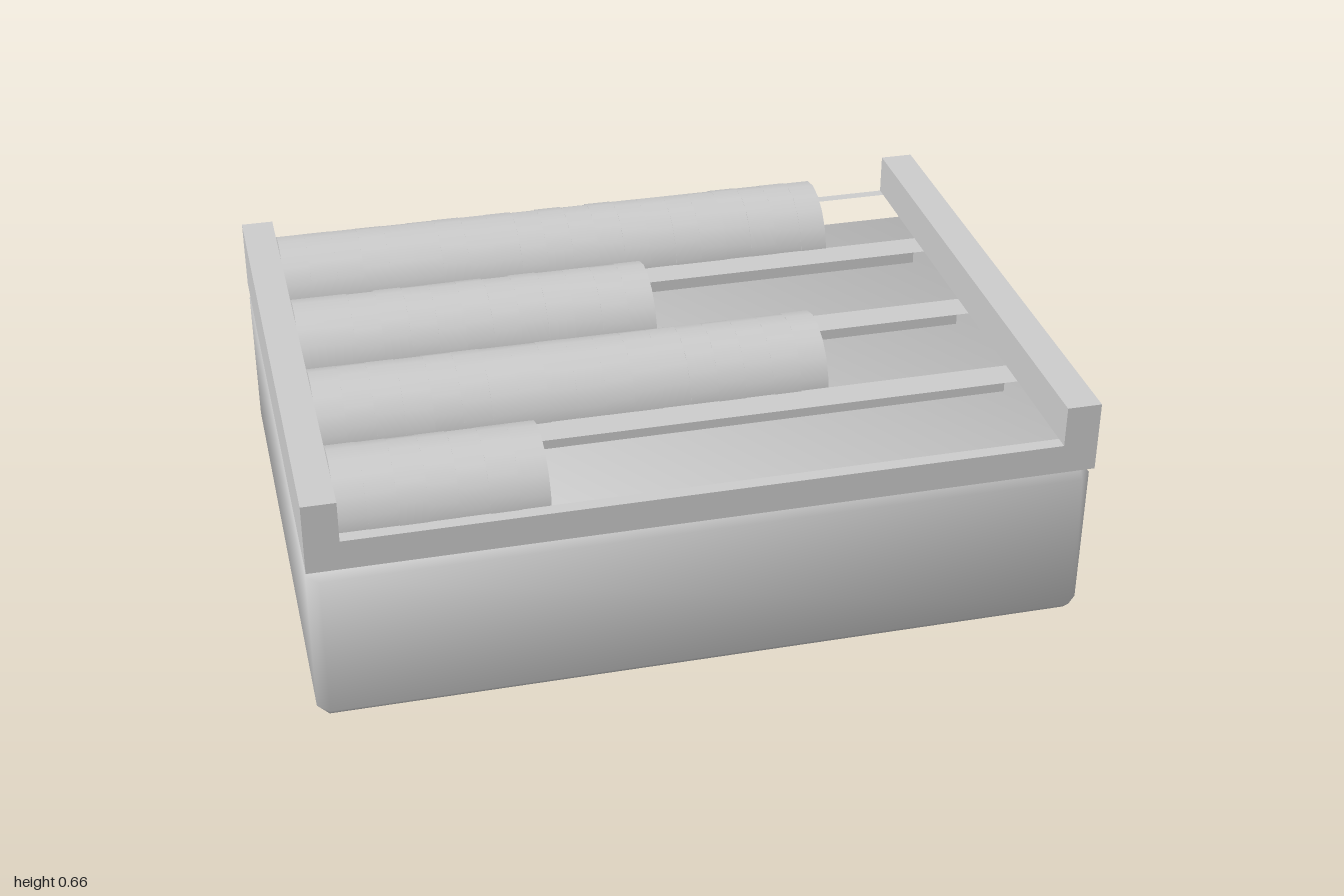
import * as THREE from 'three';
import { ConvexGeometry } from 'three/addons/geometries/ConvexGeometry.js';

const DEPTH = 0.74, BASE_TOP = 0.45, PLATE_TOP = 0.53, WALL_TOP = 0.64;
const SLOT_LEFT = -0.914, SLOT_RIGHT = 0.91, SLOT_HALF = 0.145;
const COIN_RADIUS = 0.148, COIN_LENGTH = 0.074, COIN_Y = 0.513;

// Rows from back to front: centre z and number of coins
const ROWS = [
  { z: -0.565, count: 21 },
  { z: -0.19, count: 13 },
  { z: 0.185, count: 18 },
  { z: 0.56, count: 7 },
];

function seeded(seed) {
  return () => {
    seed = (seed * 16807) % 2147483647;
    return seed / 2147483647;
  };
}

// Box with single-cut bevels whose normals are softened across each face
function softBox(hx, hy, hz, bevel) {
  const half = [hx, hy, hz];
  const points = [];
  for (const sx of [-1, 1]) for (const sy of [-1, 1]) for (const sz of [-1, 1]) {
    const s = [sx, sy, sz];
    for (let axis = 0; axis < 3; axis++) {
      points.push(new THREE.Vector3(...s.map((v, i) => v * (half[i] - (i === axis ? 0 : bevel)))));
    }
  }
  const geometry = new ConvexGeometry(points);
  const pos = geometry.attributes.position, normal = geometry.attributes.normal;
  const n = new THREE.Vector3();
  for (let i = 0; i < pos.count; i++) {
    const p = [pos.getX(i), pos.getY(i), pos.getZ(i)];
    n.set(...p.map((v, a) => Math.sign(v) * (Math.abs(v) > half[a] - bevel / 2 ? 1 : 0.42))).normalize();
    normal.setXYZ(i, n.x, n.y, n.z);
  }
  return geometry;
}

function rectangle(target, x0, x1, z0, z1) {
  target.moveTo(x0, -z0);
  target.lineTo(x1, -z0);
  target.lineTo(x1, -z1);
  target.lineTo(x0, -z1);
  target.closePath();
  return target;
}

export function createModel() {
  const model = new THREE.Group();
  model.name = 'coinTray';
  const grey = new THREE.MeshStandardMaterial({ color: 0xcccccc });
  grey.name = 'light grey';

  const add = (name, geometry, x = 0, y = 0, z = 0, parent = model) => {
    const mesh = new THREE.Mesh(geometry, grey);
    mesh.name = name;
    mesh.position.set(x, y, z);
    parent.add(mesh);
    return mesh;
  };

  // Base block
  add('base', softBox(1, BASE_TOP / 2, DEPTH, 0.03), 0, BASE_TOP / 2, 0);

  // Slotted plate
  const outline = rectangle(new THREE.Shape(), -1, 1, -DEPTH, DEPTH);
  for (const { z } of ROWS) {
    outline.holes.push(rectangle(new THREE.Path(), SLOT_LEFT, SLOT_RIGHT, z - SLOT_HALF, z + SLOT_HALF));
  }
  const plate = new THREE.ExtrudeGeometry(outline, { depth: PLATE_TOP - BASE_TOP, bevelEnabled: false });
  plate.rotateX(-Math.PI / 2);
  add('slottedPlate', plate, 0, BASE_TOP, 0);

  // Raised end walls
  const wallHeight = WALL_TOP - PLATE_TOP, wallY = (WALL_TOP + PLATE_TOP) / 2;
  for (const [name, x0, x1] of [['rightWall', -1, SLOT_LEFT], ['leftWall', SLOT_RIGHT, 1]]) {
    add(name, new THREE.BoxGeometry(x1 - x0, wallHeight, DEPTH * 2), (x0 + x1) / 2, wallY, 0);
  }

  // Rows of coins, each coin turned and shifted a little
  const coin = new THREE.CylinderGeometry(COIN_RADIUS, COIN_RADIUS, COIN_LENGTH, 18);
  coin.rotateZ(Math.PI / 2);
  const random = seeded(4217);
  ROWS.forEach(({ z, count }, r) => {
    const row = new THREE.Group();
    row.name = 'coinRow' + (r + 1);
    for (let i = 0; i < count; i++) {
      const x = SLOT_LEFT + (i + 0.5) * COIN_LENGTH;
      const mesh = add('coin', coin, x, COIN_Y, z + (random() - 0.5) * 0.004, row);
      mesh.rotation.x = random() * Math.PI * 2;
    }
    model.add(row);
  });

  return model;
}
